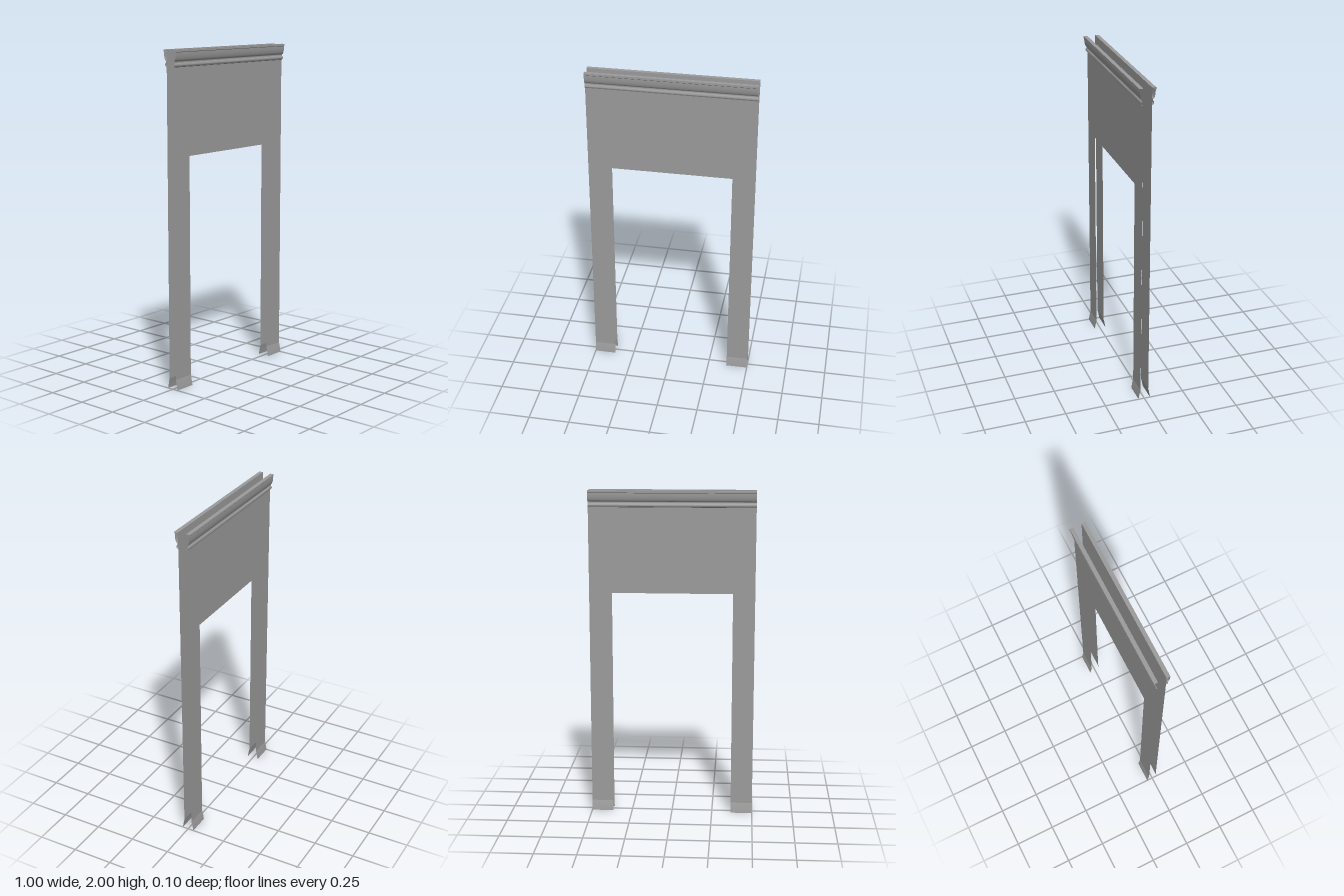
import * as THREE from 'three';
import { toCreasedNormals } from 'three/addons/utils/BufferGeometryUtils.js';

const HALF = 0.5;       // half width
const DOOR = 0.367;     // half width of the opening
const DOOR_TOP = 1.385;
const WALL_Z = 0.025;
const CROWN_Y = 1.9;
const BASE_Y = 0.062;
const TOP = 2;

const material = new THREE.MeshStandardMaterial({ color: 0x9b9b9b, side: THREE.DoubleSide });

// Sweeps a [z, y] profile, listed bottom to top, along x.
function moulding(name, profile, x0, x1) {
  const pos = [], index = [];
  profile.forEach(([z, y], i) => {
    pos.push(x0, y, z, x1, y, z);
    if (i > 0) {
      const a = 2 * (i - 1);
      index.push(a, a + 1, a + 3, a, a + 3, a + 2);
    }
  });
  const geo = new THREE.BufferGeometry();
  geo.setAttribute('position', new THREE.Float32BufferAttribute(pos, 3));
  geo.setIndex(index);
  const mesh = new THREE.Mesh(toCreasedNormals(geo, 0.6), material);
  mesh.name = name;
  return mesh;
}

// Crown: small bead, a rounded swell, then a top fillet with a flat lid.
function crownProfile() {
  const pts = [[WALL_Z, CROWN_Y], [0.03, CROWN_Y + 0.002]];
  for (let i = 0; i <= 6; i++) {
    const a = -Math.PI / 2 + (i / 6) * Math.PI;
    pts.push([0.031 + 0.006 * Math.cos(a), 1.914 + 0.01 * Math.sin(a)]);
  }
  pts.push([0.03, 1.932]);
  for (let i = 0; i <= 8; i++) {
    const a = (i / 8) * Math.PI / 2;
    pts.push([0.031 + 0.014 * Math.sin(a), 1.985 - 0.05 * Math.cos(a)]);
  }
  pts.push([0.048, 1.988], [0.048, TOP], [WALL_Z, TOP]);
  return pts;
}

// One open sheet of wall with its trim, facing +z.
function wallFace(name) {
  const face = new THREE.Group();
  face.name = name;

  const outline = [
    [-HALF, BASE_Y], [-DOOR, BASE_Y], [-DOOR, DOOR_TOP], [DOOR, DOOR_TOP],
    [DOOR, BASE_Y], [HALF, BASE_Y], [HALF, TOP], [-HALF, TOP],
  ].map(([x, y]) => new THREE.Vector2(x, y));
  const panel = new THREE.Mesh(new THREE.ShapeGeometry(new THREE.Shape(outline)), material);
  panel.position.z = WALL_Z;
  panel.name = 'wallPanel';
  face.add(panel, moulding('crownMoulding', crownProfile(), -HALF, HALF));

  // Flared skirting at the foot of each leg
  const skirting = [[0.037, 0], [0.035, 0.015], [0.032, 0.03], [0.029, 0.046], [WALL_Z, BASE_Y]];
  face.add(moulding('rightSkirting', skirting, -HALF, -DOOR));
  face.add(moulding('leftSkirting', skirting, DOOR, HALF));
  return face;
}

export function createModel() {
  const model = new THREE.Group();
  model.name = 'doorwayWall';
  const back = wallFace('backFace');
  back.rotation.y = Math.PI;
  model.add(wallFace('frontFace'), back);
  return model;
}
